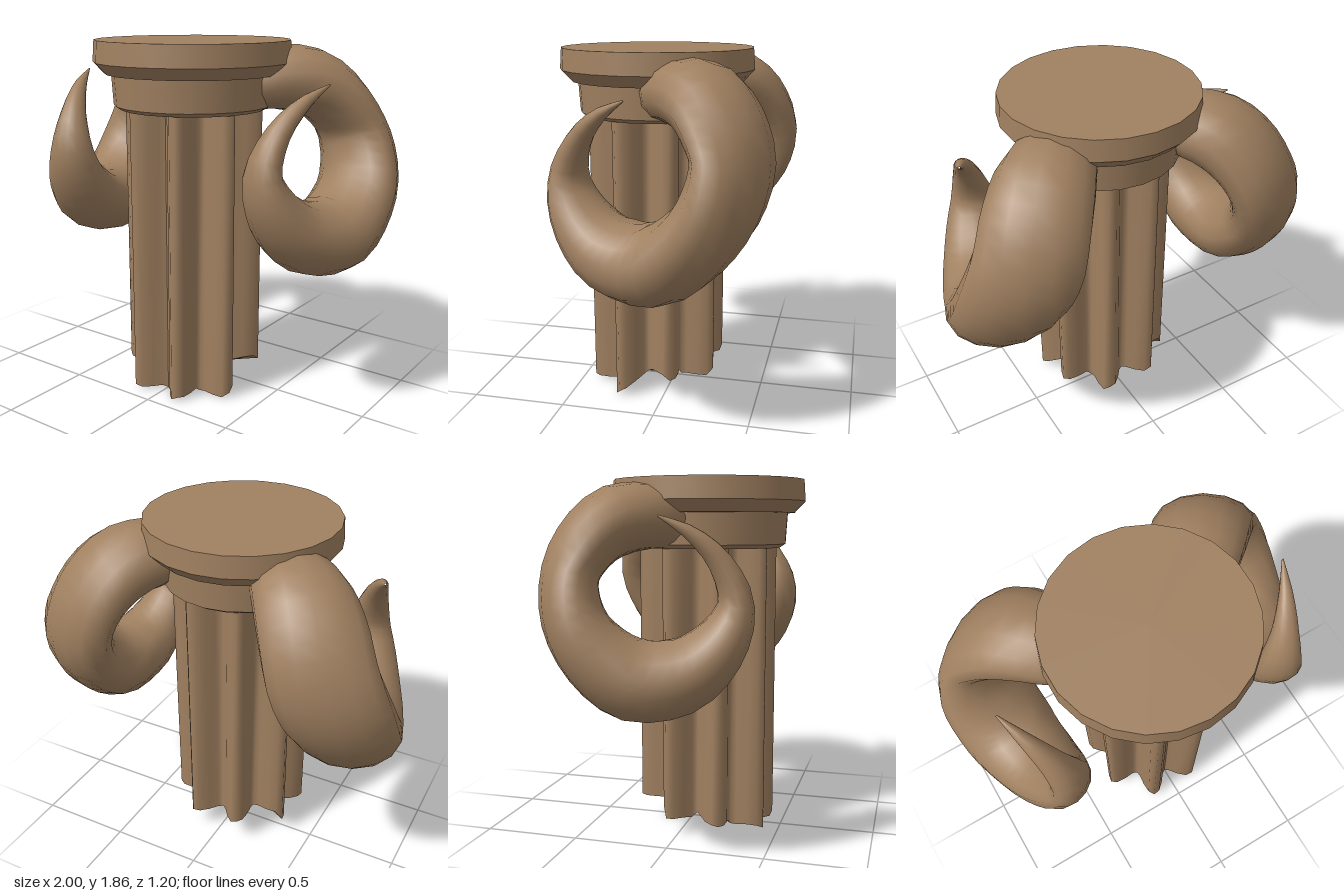
import * as THREE from 'three';

const CENTRE_Z = 0.09; // axis of the column
const SIDES = 64;
const { lerp, smoothstep } = THREE.MathUtils;

// Small repeatable noise, 0..1
const noise = (n) => {
  const s = Math.sin(n * 127.1 + 3.7) * 43758.5453;
  return s - Math.floor(s);
};

// Eight rounded lobes with grooves facing the four main directions
const columnRadius = (a) => 0.3 - 0.068 * Math.cos(8 * a);

// Broken lower end: low across the front, chipped higher at the sides and back
function brokenPoint(a, f) {
  const r = f * lerp(0.27, columnRadius(a), f * f);
  const x = Math.sin(a) * r, z = Math.cos(a) * r;
  const step = Math.round((a / (Math.PI * 2) + 1) * SIDES) % SIDES;
  const chip = f < 0.01 ? 0 : noise(Math.floor(step / 4) + Math.round(f * 3) * 40) - 0.5;
  const back = 1 - smoothstep(z, -0.08, 0.2);
  const rightSide = 1 - smoothstep(x, -0.22, -0.12);
  const y = 0.012 + 0.12 * Math.max(back, rightSide * 0.6) + chip * lerp(0.03, 0.08, back) + (1 - f) * 0.05;
  return [x, Math.max(0, y), z];
}

function makeColumn(mat) {
  const group = new THREE.Group();
  group.name = 'column';

  // Fluted shaft
  const shaft = new THREE.CylinderGeometry(1, 1, 1, SIDES, 1, true);
  let p = shaft.attributes.position;
  for (let i = 0; i < p.count; i++) {
    const a = Math.atan2(p.getX(i), p.getZ(i));
    const r = columnRadius(a);
    if (p.getY(i) > 0) p.setXYZ(i, Math.sin(a) * r, 1.53, Math.cos(a) * r);
    else p.setXYZ(i, ...brokenPoint(a, 1));
  }
  shaft.computeVertexNormals();
  const shaftMesh = new THREE.Mesh(shaft, mat);
  shaftMesh.name = 'flutedShaft';

  // Rough, faceted underside
  const ring = new THREE.RingGeometry(0, 1, SIDES, 3);
  ring.rotateX(Math.PI / 2);
  p = ring.attributes.position;
  for (let i = 0; i < p.count; i++) {
    const f = Math.hypot(p.getX(i), p.getZ(i));
    p.setXYZ(i, ...brokenPoint(Math.atan2(p.getX(i), p.getZ(i)), f));
  }
  const under = ring.toNonIndexed();
  under.computeVertexNormals();
  const underMesh = new THREE.Mesh(under, mat);
  underMesh.name = 'brokenUnderside';

  group.add(shaftMesh, underMesh);
  return group;
}

// Capital: one lathe band per profile segment keeps the edges sharp
function makeCapital(mat) {
  const group = new THREE.Group();
  group.name = 'capital';
  const profile = [
    [0, 1.51], [0.38, 1.51], [0.41, 1.53], [0.42, 1.69], [0.455, 1.69],
    [0.512, 1.75], [0.504, 1.86], [0, 1.86],
  ].map(([r, y]) => new THREE.Vector2(r, y));
  for (let i = 0; i < profile.length - 1; i++) {
    const band = new THREE.Mesh(new THREE.LatheGeometry([profile[i], profile[i + 1]], 22), mat);
    band.name = 'capitalBand';
    group.add(band);
  }
  return group;
}

// Tapering curled horn: x, y, z, half thickness, half width along its centre line
const HORN = [
  [0.22, 1.63, -0.02, 0.13, 0.17], [0.36, 1.67, -0.12, 0.165, 0.21], [0.49, 1.645, -0.26, 0.175, 0.24],
  [0.59, 1.54, -0.365, 0.155, 0.255], [0.67, 1.37, -0.425, 0.137, 0.26], [0.745, 1.12, -0.34, 0.16, 0.26],
  [0.735, 0.92, -0.1, 0.2, 0.25], [0.685, 0.94, 0.14, 0.18, 0.215], [0.635, 1.09, 0.31, 0.13, 0.165],
  [0.61, 1.27, 0.375, 0.083, 0.115], [0.65, 1.46, 0.31, 0.058, 0.068], [0.71, 1.59, 0.19, 0.035, 0.036],
  [0.77, 1.67, 0.05, 0.004, 0.004],
];

function makeHorn(mat, side) {
  const curve = new THREE.CatmullRomCurve3(HORN.map(([x, y, z]) => new THREE.Vector3(x * side, y, z)));
  const rings = 36, around = 14;
  const wideAxis = new THREE.Vector3(0.88 * side, 0, 0.47);
  const positions = [], index = [];
  for (let i = 0; i <= rings; i++) {
    const t = curve.getUtoTmapping(i / rings);
    const centre = curve.getPoint(t);
    const tangent = curve.getTangent(t);
    // The oval section is widest along one slanted direction
    const across = wideAxis.clone().addScaledVector(tangent, -wideAxis.dot(tangent)).normalize();
    const out = new THREE.Vector3().crossVectors(across, tangent);
    const k = Math.min(Math.floor(t * (HORN.length - 1)), HORN.length - 2);
    const w = t * (HORN.length - 1) - k;
    const thick = lerp(HORN[k][3], HORN[k + 1][3], w);
    const wide = lerp(HORN[k][4], HORN[k + 1][4], w);
    for (let j = 0; j < around; j++) {
      const a = (j / around) * Math.PI * 2;
      const v = centre.clone()
        .addScaledVector(out, Math.cos(a) * thick)
        .addScaledVector(across, Math.sin(a) * wide);
      positions.push(v.x, v.y, v.z);
      if (i < rings) {
        const b = i * around + j, c = i * around + (j + 1) % around;
        index.push(b, c, b + around, c, c + around, b + around);
      }
    }
  }
  const geo = new THREE.BufferGeometry();
  geo.setAttribute('position', new THREE.Float32BufferAttribute(positions, 3));
  geo.setIndex(index);
  geo.computeVertexNormals();
  const mesh = new THREE.Mesh(geo, mat);
  mesh.name = side > 0 ? 'leftHorn' : 'rightHorn';
  return mesh;
}

export function createModel() {
  const model = new THREE.Group();
  model.name = 'hornedColumn';
  const stone = new THREE.MeshStandardMaterial({ color: 0xa08060 });
  stone.name = 'brownStone';

  const pillar = new THREE.Group();
  pillar.name = 'pillar';
  pillar.position.z = CENTRE_Z;
  pillar.add(makeColumn(stone), makeCapital(stone));

  model.add(pillar, makeHorn(stone, 1), makeHorn(stone, -1));
  return model;
}
